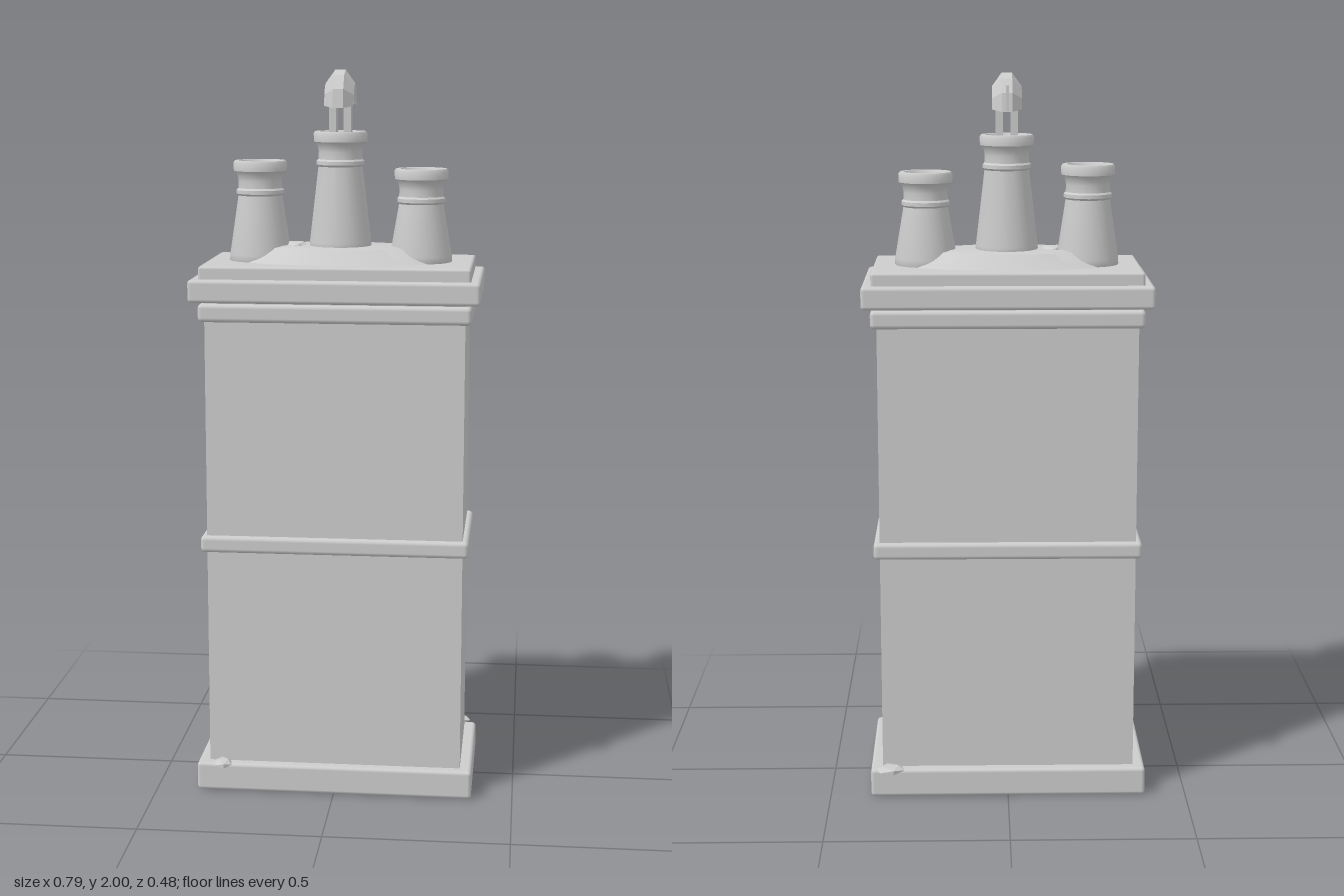
import * as THREE from 'three';
import { toCreasedNormals } from 'three/addons/utils/BufferGeometryUtils.js';
import { RoundedBoxGeometry } from 'three/addons/geometries/RoundedBoxGeometry.js';

const stone = new THREE.MeshStandardMaterial({ color: 0xcccccc });
stone.name = 'stone grey';

export function createModel() {
  const model = new THREE.Group();
  model.name = 'chimney';

  const add = (name, geometry, x = 0, y = 0, z = 0, parent = model) => {
    const mesh = new THREE.Mesh(geometry, stone);
    mesh.name = name;
    mesh.position.set(x, y, z);
    parent.add(mesh);
    return mesh;
  };

  // Box course between two heights, with softened edges
  const course = (name, halfX, halfZ, y0, y1, bevel) => {
    const size = [halfX * 2, y1 - y0, halfZ * 2];
    const geometry = bevel ? new RoundedBoxGeometry(...size, 2, bevel) : new THREE.BoxGeometry(...size);
    add(name, geometry, 0, (y0 + y1) / 2, 0);
  };
  course('base', 0.386, 0.207, 0, 0.08, 0.01);
  course('shaft', 0.353, 0.178, 0.07, 1.4, 0);
  course('middleBand', 0.37, 0.193, 0.688, 0.735, 0.012);
  course('upperBand', 0.37, 0.193, 1.33, 1.38, 0.012);
  course('cap', 0.393, 0.215, 1.385, 1.447, 0.01);
  course('topSlab', 0.367, 0.19, 1.43, 1.482, 0.008);

  // Low oval mortar bed under the pots
  const bedProfile = [[1, -0.1], [1, 0], [0.73, 0.9], [0.6, 1], [0, 1]].map(p => new THREE.Vector2(...p));
  const bed = new THREE.LatheGeometry(bedProfile, 20);
  bed.scale(0.3, 0.045, 0.152);
  add('mortarBed', toCreasedNormals(bed, 0.5), 0, 1.48, 0);

  // Turned pots: tapered body, collar ring, neck, flared rim and shallow bore
  const pot = (name, x, y0, top) => {
    const ring = top - 0.085;
    const profile = [
      [0.082, y0], [0.086, y0 + 0.008], [0.085, y0 + 0.025], [0.061, ring - 0.01],
      [0.066, ring - 0.005], [0.066, ring + 0.005], [0.061, ring + 0.01],
      [0.06, top - 0.055], [0.064, top - 0.037], [0.073, top - 0.028], [0.074, top - 0.006],
      [0.07, top], [0.058, top], [0.051, top - 0.012], [0.045, top - 0.05], [0, top - 0.05],
    ].map(p => new THREE.Vector2(...p));
    add(name, toCreasedNormals(new THREE.LatheGeometry(profile, 24), 0.7), x, 0, 0);
  };
  pot('rightPot', -0.222, 1.475, 1.755);
  pot('middlePot', 0, 1.51, 1.835);
  pot('leftPot', 0.222, 1.475, 1.735);

  // Wind cowl: supports, arched hood swept through half a turn, and tail vane
  const cowl = new THREE.Group();
  cowl.name = 'windCowl';
  model.add(cowl);
  for (const side of [-1, 1]) {
    add('cowlSupport', new THREE.BoxGeometry(0.02, 0.16, 0.045), side * 0.02, 1.855, 0, cowl);
  }
  const section = [[-0.014, 1], [0.014, 1], [0.04, 0.6], [0.034, 0.28], [-0.034, 0.28], [-0.04, 0.6]];
  const steps = 6, n = section.length, positions = [], index = [];
  for (let i = 0; i <= steps; i++) {
    const a = -0.12 + (i / steps) * (Math.PI + 0.24);
    for (const [x, r] of section) positions.push(x, 1.91 + Math.sin(a) * 0.09 * r, Math.cos(a) * 0.077 * r);
  }
  for (let i = 0; i < steps; i++) {
    for (let j = 0; j < n; j++) {
      const a = i * n + j, b = i * n + (j + 1) % n;
      index.push(a, b, a + n, b, b + n, a + n);
    }
  }
  const last = steps * n;
  for (let j = 1; j < n - 1; j++) index.push(0, j + 1, j, last, last + j, last + j + 1);
  const hood = new THREE.BufferGeometry();
  hood.setAttribute('position', new THREE.Float32BufferAttribute(positions, 3));
  hood.setIndex(index);
  add('hood', toCreasedNormals(hood, 0.3), 0, 0, 0, cowl);
  add('tailVane', new THREE.BoxGeometry(0.006, 0.068, 0.115), 0, 1.938, -0.097, cowl);

  // Flattened faceted clumps on the ledges
  const clump = (name, x, y, z, sx, sy, sz, turn) => {
    const geometry = new THREE.IcosahedronGeometry(1, 0);
    geometry.scale(sx, sy, sz);
    add(name, geometry, x, y, z).rotation.y = turn;
  };
  clump('frontClump', -0.312, 0.084, 0.21, 0.028, 0.012, 0.037, 0.2);
  clump('backClump', 0.33, 0.084, -0.212, 0.042, 0.012, 0.036, 0.3);
  clump('bedClump', -0.123, 1.52, -0.002, 0.036, 0.016, 0.044, 0.3);

  return model;
}
